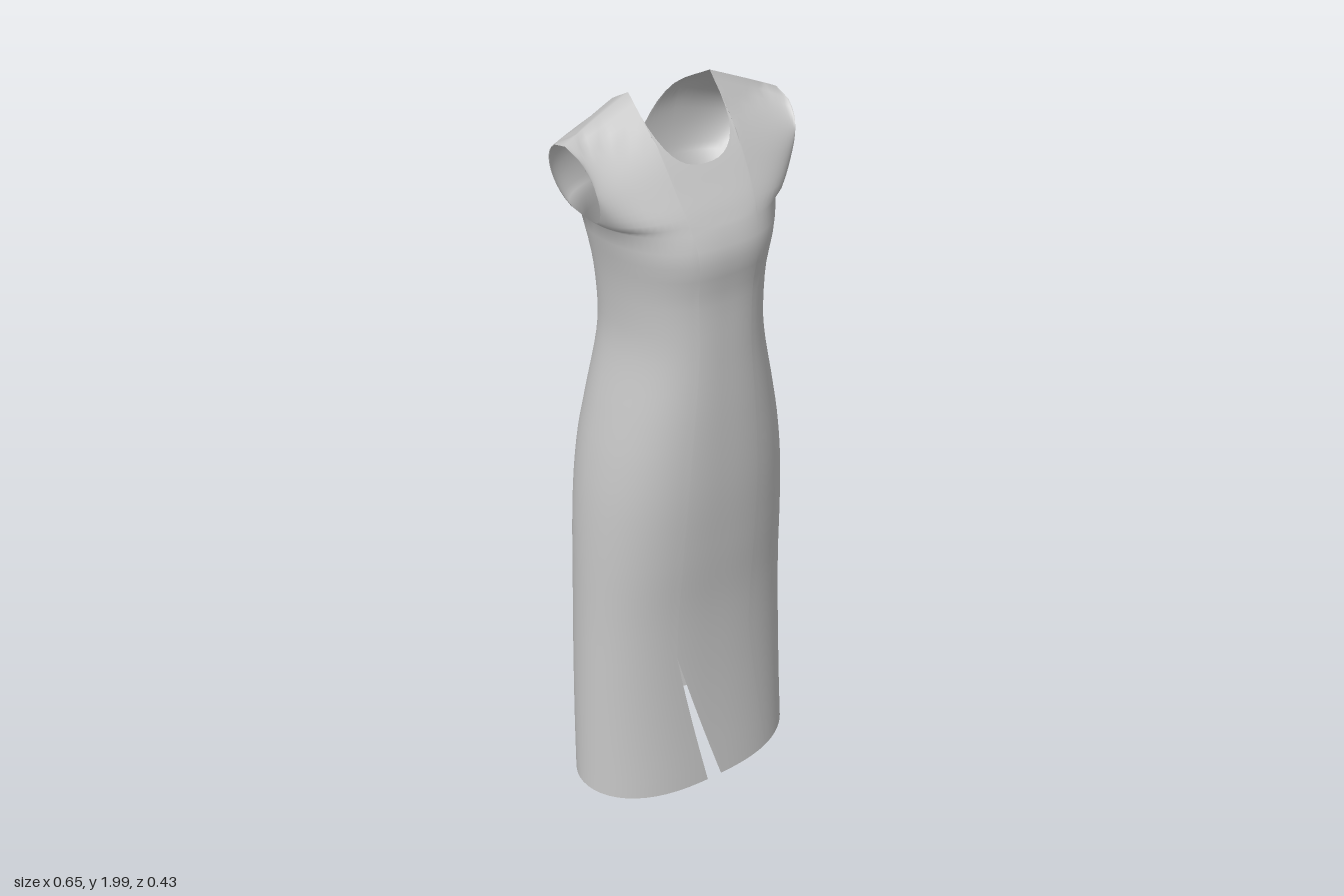
import * as THREE from 'three';
import { mergeVertices } from 'three/addons/utils/BufferGeometryUtils.js';

// Smooth profile through [height, value] pairs
function profile(pairs) {
  const f = new THREE.CubicInterpolant(pairs.map(p => p[0]), pairs.map(p => p[1]), 1);
  return y => f.evaluate(y)[0];
}

const UNDERARM = 1.72, SHOULDER = 0.3, NECK = 0.115, SLIT_TOP = 0.47;
const halfWidth = profile([[0, 0.326], [0.5, 0.307], [0.95, 0.285], [1.1, 0.264], [1.2, 0.243],
  [1.4, 0.202], [1.5, 0.203], [1.6, 0.215], [UNDERARM, 0.243]]);
const frontDepth = profile([[0, 0.182], [0.2, 0.17], [0.4, 0.165], [0.6, 0.17], [0.8, 0.188], [1, 0.203],
  [1.2, 0.207], [1.4, 0.204], [1.55, 0.203], [1.67, 0.214], [1.75, 0.178], [1.8, 0.145], [1.9, 0.07], [2, -0.04]]);
const backDepth = profile([[0, -0.166], [0.2, -0.188], [0.4, -0.2], [0.7, -0.205], [1.08, -0.206], [1.2, -0.19],
  [1.4, -0.166], [1.55, -0.167], [1.7, -0.174], [1.83, -0.177], [1.9, -0.163], [1.95, -0.128], [2, -0.04]]);

// Column positions from centre to side, closer together at the neck edge and side seam
const half = [];
for (let i = 0; i <= 10; i++) half.push(NECK / SHOULDER * Math.sin(i / 10 * Math.PI / 2));
const neckS = half[10];
for (let i = 1; i <= 14; i++) half.push(neckS + (1 - neckS) * Math.sin(i / 14 * Math.PI / 2));
const columns = [...half.slice(1).reverse().map(s => -s), ...half];

// Shoulder line drops outwards; neckline is scooped in front and V-shaped behind
const shoulderDrop = x => 0.08 * Math.max(0, (x - NECK) / (SHOULDER - NECK));
function topEdge(x, isFront) {
  if (x >= NECK - 1e-6) return 2 - shoulderDrop(x);
  const k = x / NECK;
  return isFront ? 2 - 0.15 * Math.pow(1 - Math.pow(k, 2.5), 1 / 2.5) : 1.8 + 0.2 * k;
}

const LOW = 8, MID = 32, TOP = 14;
function panelPoint(s, row, isFront, slitSide) {
  const a = Math.abs(s);
  const round = Math.sqrt(Math.max(0, 1 - Math.pow(a, 2.6)));
  const depth = isFront ? frontDepth : backDepth;
  const dir = isFront ? 1 : -1;
  if (row <= LOW + MID) {
    // Skirt and bodice
    const hem = 0.02 - 0.012 * dir * round;
    const y = row <= LOW ? THREE.MathUtils.lerp(hem, SLIT_TOP, row / LOW)
      : THREE.MathUtils.lerp(SLIT_TOP, UNDERARM, (row - LOW) / MID);
    const w = halfWidth(y);
    let u = s;
    if (slitSide && row < LOW) {
      // Columns lean towards the slanted slit
      const k = row / LOW, apex = -neckS;
      const edge = THREE.MathUtils.lerp((slitSide < 0 ? -0.03 : 0.015) / w, apex, k);
      u = slitSide < 0 ? -1 + (s + 1) / (apex + 1) * (edge + 1) : 1 - (1 - s) / (1 - apex) * (1 - edge);
    }
    const r = Math.sqrt(Math.max(0, 1 - Math.pow(Math.abs(u), 2.6)));
    const seam = -0.02 * y / UNDERARM;
    return [u * w, y, seam + (depth(y) - seam) * r];
  }
  // Yoke between neckline, shoulder and round armhole
  const t = (row - LOW - MID) / TOP, xTop = a * SHOULDER;
  const y = THREE.MathUtils.lerp(UNDERARM, topEdge(xTop, isFront), t);
  const x = s * THREE.MathUtils.lerp(halfWidth(UNDERARM), SHOULDER, Math.pow(t, 0.65));
  const h = THREE.MathUtils.clamp((y - 1.82) / 0.1, -1, 1);
  const armhole = -0.02 + dir * 0.1 * Math.sqrt(1 - h * h);
  const z = depth(Math.min(2, y + shoulderDrop(xTop) * t));
  return [x, y, armhole + (z - armhole) * round];
}

// Adds one cloth panel as a grid of quads
function addPanel(positions, indices, cols, isFront, slitSide) {
  const start = positions.length / 3, rows = LOW + MID + TOP, n = cols.length;
  for (let j = 0; j <= rows; j++) for (const s of cols) positions.push(...panelPoint(s, j, isFront, slitSide));
  for (let j = 0; j < rows; j++) for (let i = 0; i < n - 1; i++) {
    const a = start + j * n + i, b = a + 1, c = b + n, d = a + n;
    if (isFront) indices.push(a, b, c, a, c, d);
    else indices.push(a, c, b, a, d, c);
  }
}

export function createModel() {
  const group = new THREE.Group();
  group.name = 'sleevelessDress';
  const cloth = new THREE.MeshStandardMaterial({ color: 0xc4c4c4, side: THREE.DoubleSide });
  cloth.name = 'greyCloth';

  // Front is split at the slit; the panels are welded along every seam
  const positions = [], indices = [];
  const cut = columns.findIndex(s => Math.abs(s + neckS) < 1e-6);
  addPanel(positions, indices, columns.slice(0, cut + 1), true, -1);
  addPanel(positions, indices, columns.slice(cut), true, 1);
  addPanel(positions, indices, columns, false, 0);

  let geometry = new THREE.BufferGeometry();
  geometry.setAttribute('position', new THREE.Float32BufferAttribute(positions, 3));
  geometry.setIndex(indices);
  geometry = mergeVertices(geometry, 1e-4);
  geometry.computeVertexNormals();

  const dress = new THREE.Mesh(geometry, cloth);
  dress.name = 'dress';
  group.add(dress);
  return group;
}
